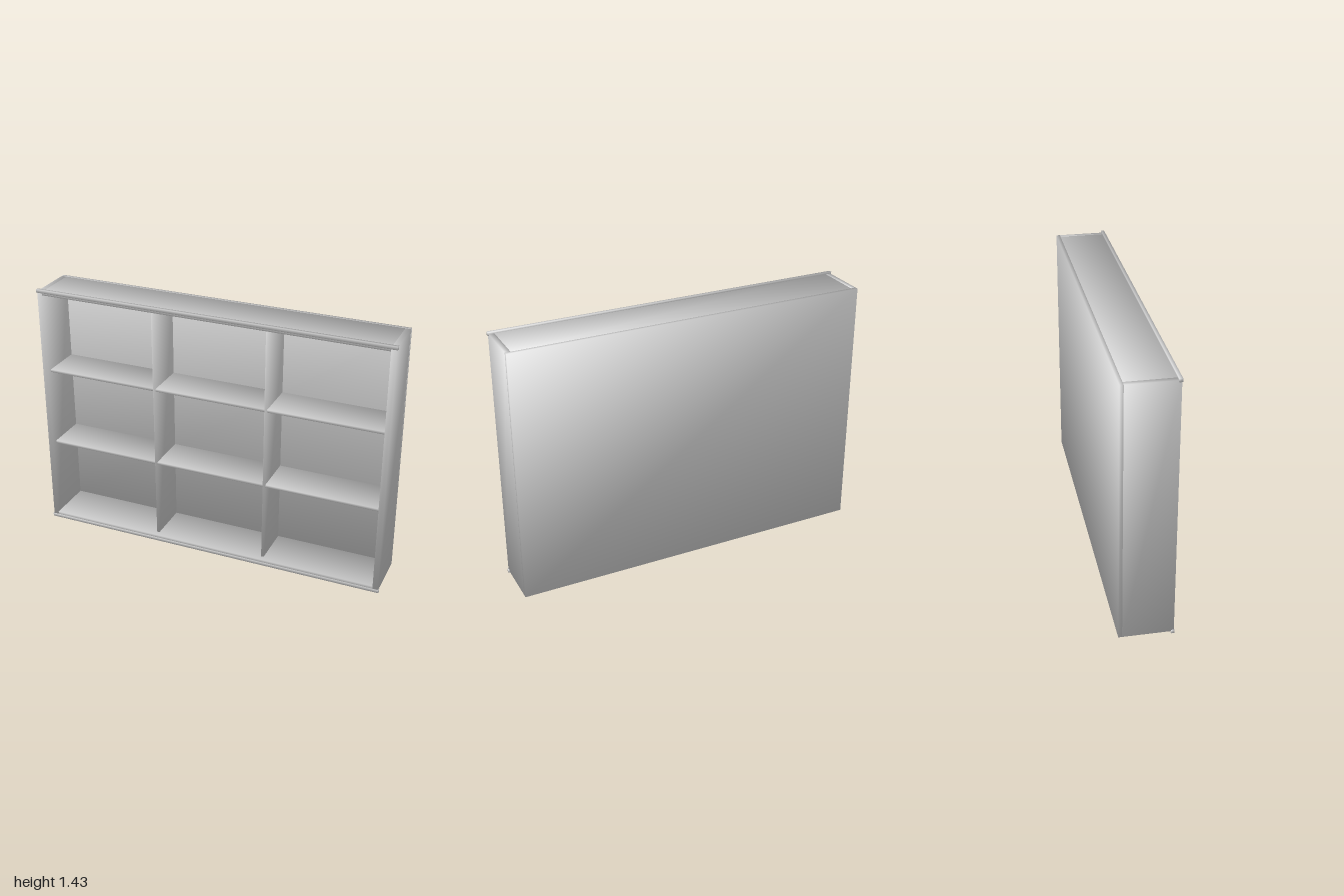
import * as THREE from 'three';

export function createModel() {
  const group = new THREE.Group();
  const paint = new THREE.MeshStandardMaterial({ color: 0xcccccc });
  paint.name = 'lightGrey';

  // Board given by its lower and upper corners, with soft normals shared at each corner
  function board(name, [x0, y0, z0], [x1, y1, z1]) {
    const geo = new THREE.BoxGeometry(x1 - x0, y1 - y0, z1 - z0);
    const pos = geo.attributes.position;
    const n = new THREE.Vector3();
    for (let i = 0; i < pos.count; i++) {
      n.fromBufferAttribute(pos, i);
      n.set(Math.sign(n.x), Math.sign(n.y), Math.sign(n.z)).normalize();
      geo.attributes.normal.setXYZ(i, n.x, n.y, n.z);
    }
    const mesh = new THREE.Mesh(geo, paint);
    mesh.name = name;
    mesh.position.set((x0 + x1) / 2, (y0 + y1) / 2, (z0 + z1) / 2);
    group.add(mesh);
  }

  const outer = 0.995, inner = 0.966;
  const low = 0.01, high = 1.42;
  const front = 0.142, back = -0.142, backInner = -0.122;
  const shelfFront = 0.11, half = 0.0075;

  // Outer case
  board('backPanel', [-outer, low, back], [outer, high, backInner]);
  board('leftSide', [inner, low, backInner], [outer, high, front]);
  board('rightSide', [-outer, low, backInner], [-inner, high, front]);
  board('bottomPanel', [-inner, low, backInner], [inner, 0.034, front]);
  board('topPanel', [-inner, 1.4, backInner], [inner, high, front]);

  // Upright dividers
  const dividers = [-0.322, 0.322];
  for (const x of dividers) {
    board('divider', [x - half, 0.034, backInner], [x + half, 1.4, shelfFront]);
  }

  // Shelves, one per bay
  const edges = [-inner - half, ...dividers, inner + half];
  for (const y of [0.49, 0.941]) {
    for (let i = 0; i < 3; i++) {
      board('shelf', [edges[i] + half, y - half, backInner],
        [edges[i + 1] - half, y + half, shelfFront]);
    }
  }

  // Slim trim rails along the top and bottom front edges
  for (const [name, y] of [['bottomRail', 0], ['topRail', 1.412]]) {
    board(name, [-1, y, 0.127], [1, y + 0.018, 0.145]);
  }
  return group;
}
